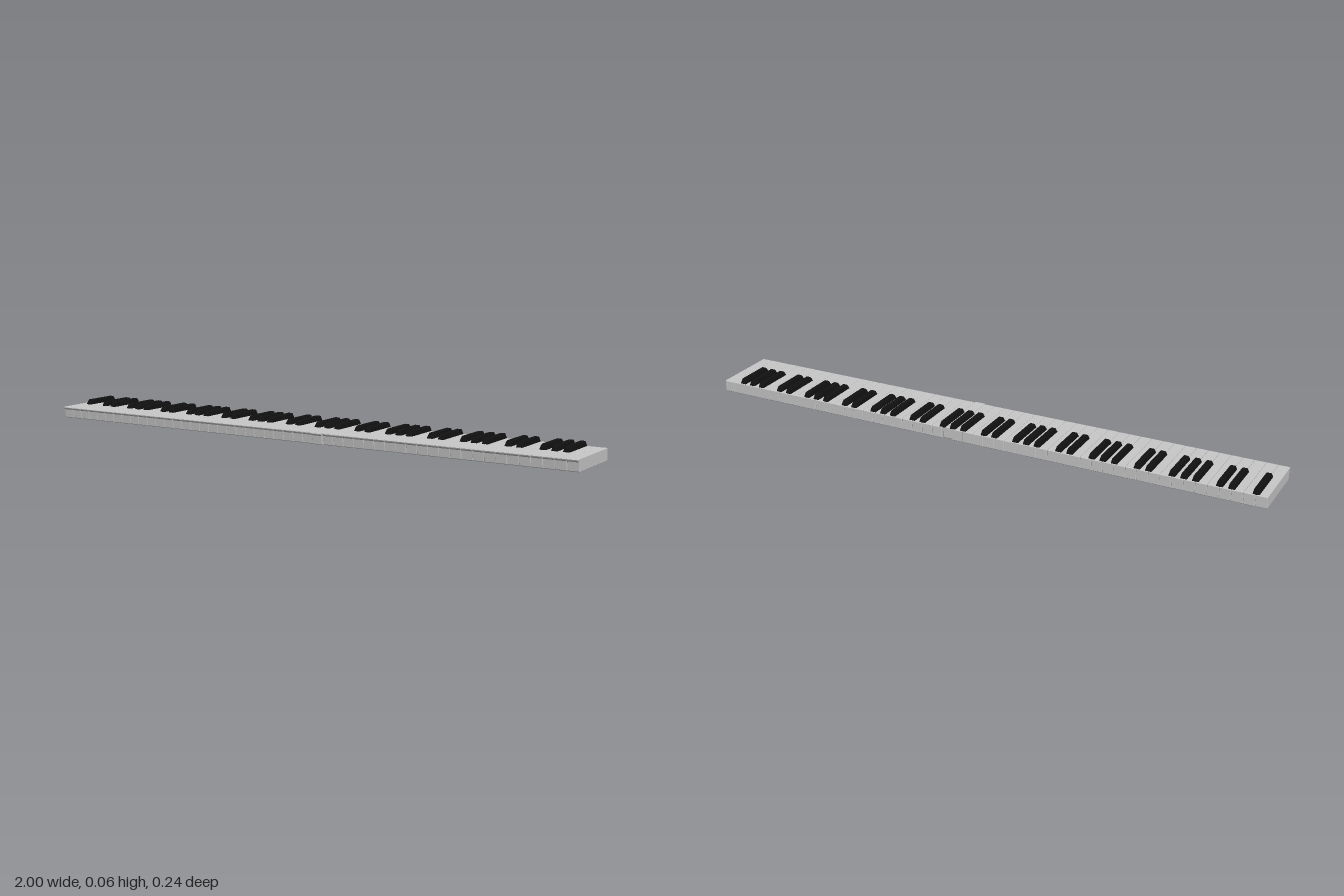
import * as THREE from 'three';

const WHITE_COUNT = 52;
const PITCH = 2 / WHITE_COUNT;

// Extrudes a side profile of [z, y] points across the width of a key, with softened edges
function keyGeometry(profile, width, bevel) {
  const shape = new THREE.Shape(profile.map(([z, y]) => new THREE.Vector2(-z, y)));
  const geometry = new THREE.ExtrudeGeometry(shape, {
    depth: width - 2 * bevel,
    bevelEnabled: true,
    bevelThickness: bevel,
    bevelSize: bevel,
    bevelOffset: -bevel,
    bevelSegments: 1,
  });
  geometry.translate(0, 0, -width / 2 + bevel);
  geometry.rotateY(Math.PI / 2);
  return geometry;
}

export function createModel() {
  const piano = new THREE.Group();
  piano.name = 'pianoKeyboard';

  const ivory = new THREE.MeshStandardMaterial({ color: 0xc8c8c8 });
  ivory.name = 'ivory grey';
  const ebony = new THREE.MeshStandardMaterial({ color: 0x111111 });
  ebony.name = 'ebony black';

  // White key: long block with an overhanging lip and a sloped front
  const whiteGeometry = keyGeometry([
    [-0.12, 0.002], [-0.118, 0], [0.104, 0], [0.106, 0.002],
    [0.109, 0.03], [0.113, 0.034], [0.114, 0.037], [0.112, 0.04],
    [-0.118, 0.04], [-0.12, 0.038],
  ], PITCH - 0.0012, 0.0008);

  // Black key: sloped ends, narrowing towards the top
  const blackGeometry = keyGeometry([
    [0.022, 0.039], [0.021, 0.043], [0.015, 0.053], [0.010, 0.057],
    [-0.108, 0.057], [-0.112, 0.055], [-0.118, 0.041], [-0.118, 0.039],
  ], 0.023, 0.002);
  const position = blackGeometry.attributes.position;
  for (let i = 0; i < position.count; i++) {
    const rise = (position.getY(i) - 0.039) / 0.018;
    position.setX(i, position.getX(i) * (1 - 0.28 * rise));
  }
  blackGeometry.computeVertexNormals();

  const whiteKeys = new THREE.Group();
  whiteKeys.name = 'whiteKeys';
  const blackKeys = new THREE.Group();
  blackKeys.name = 'blackKeys';
  piano.add(whiteKeys, blackKeys);

  // Note letters repeat every seven white keys, starting from A
  const sharpFollows = [true, false, true, true, false, true, true];
  const forwardKey = 28;

  for (let i = 0; i < WHITE_COUNT; i++) {
    const white = new THREE.Mesh(whiteGeometry, ivory);
    white.name = `whiteKey${i + 1}`;
    white.position.x = -1 + (i + 0.5) * PITCH;
    // One key sits slightly further forward than the rest
    if (i === forwardKey) white.position.z = 0.006;
    whiteKeys.add(white);

    if (sharpFollows[i % 7] && i < WHITE_COUNT - 1) {
      const black = new THREE.Mesh(blackGeometry, ebony);
      black.name = `blackKey${blackKeys.children.length + 1}`;
      black.position.x = -1 + (i + 1) * PITCH;
      blackKeys.add(black);
    }
  }
  return piano;
}
